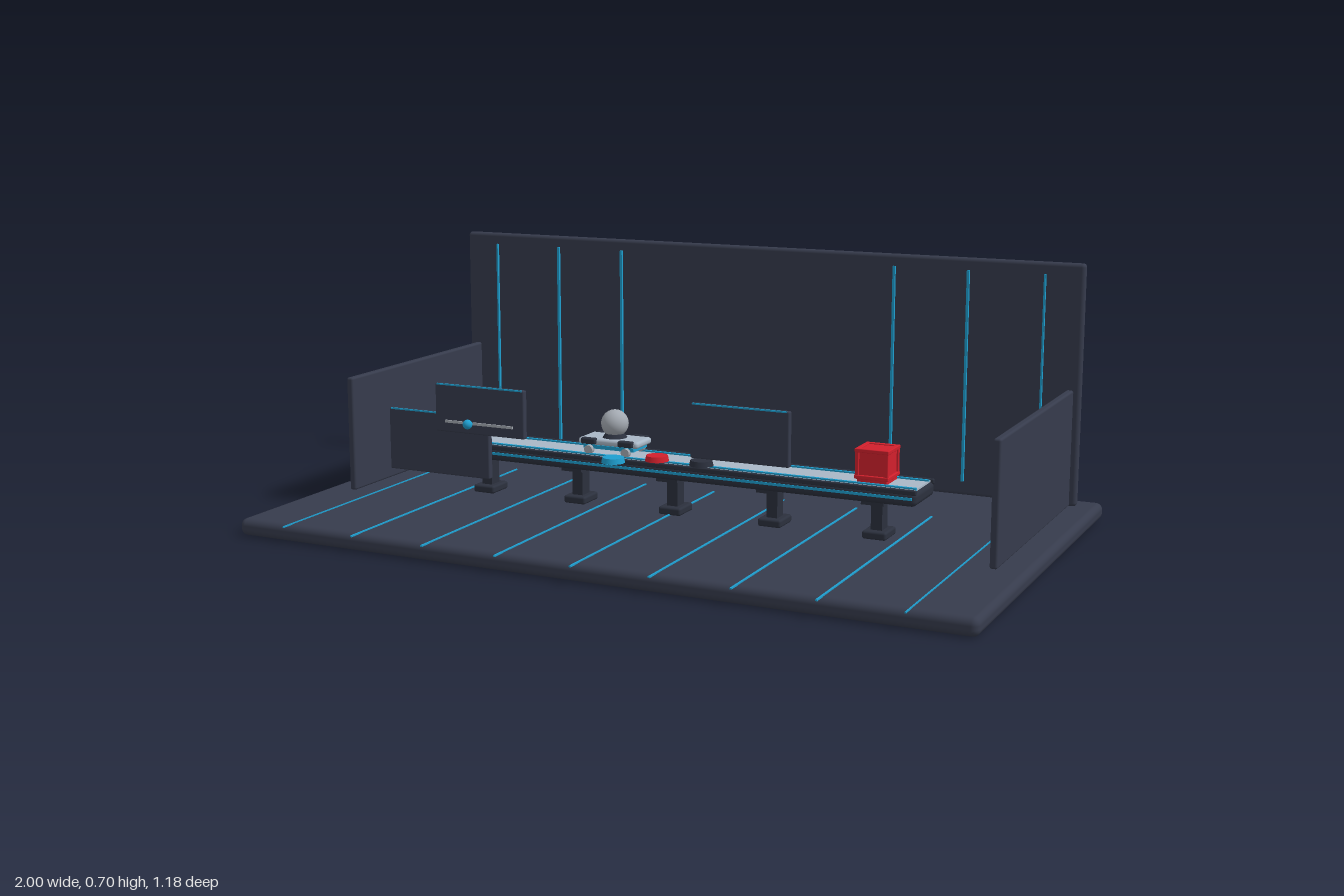
import * as THREE from 'three';
import { RoundedBoxGeometry } from 'three/addons/geometries/RoundedBoxGeometry.js';

const mat = (name, color) => {
  const m = new THREE.MeshStandardMaterial({ color });
  m.name = name;
  return m;
};

export function createModel() {
  const navy = mat('navy panel', 0x363b4c);
  const charcoal = mat('charcoal metal', 0x2b303d);
  const silver = mat('silver belt', 0xa9b7c6);
  const pearl = mat('pearl grey', 0xa3a9b1);
  const cyan = mat('cyan light', 0x1e9fd0);
  const red = mat('red', 0xd2202c);
  const model = new THREE.Group();

  const put = (name, geometry, material, x, y, z, parent = model) => {
    const mesh = new THREE.Mesh(geometry, material);
    mesh.name = name;
    mesh.position.set(x, y, z);
    parent.add(mesh);
    return mesh;
  };
  // Boxes given by their low and high corners, rounded when r > 0
  const box = (name, material, [x0, x1], [y0, y1], [z0, z1], r = 0, parent = model) => {
    const s = [x1 - x0, y1 - y0, z1 - z0];
    const g = r ? new RoundedBoxGeometry(...s, 3, r) : new THREE.BoxGeometry(...s);
    return put(name, g, material, (x0 + x1) / 2, (y0 + y1) / 2, (z0 + z1) / 2, parent);
  };
  const group = (name) => {
    const g = new THREE.Group();
    g.name = name;
    model.add(g);
    return g;
  };
  const around = (c, half) => [c - half, c + half];

  // Floor slab and walls
  box('floor', navy, [-1, 1], [0, 0.045], [-0.59, 0.568], 0.018);
  box('backWall', navy, [-0.945, 0.945], [0.045, 0.7], [-0.528, -0.502], 0.01);
  for (const s of [-1, 1])
    box('sideWall', navy, around(s * 0.916, 0.01), [0.045, 0.362], [-0.51, 0.175], 0.006);

  // Light lines on the floor and back wall
  for (let i = -4; i <= 4; i++) {
    const w = Math.abs(i) === 4 ? 0.0015 : 0.0025;
    box('floorLine', cyan, around(i * 0.21, w), [0.044, 0.048], [-0.235, 0.59]);
    if (Math.abs(i) > 1)
      box('wallLine', cyan, around(i * 0.21, w + 0.001), [0.085, 0.668], [-0.503, -0.494]);
  }

  // Conveyor: frame, belt, rails and light strips
  const conveyor = group('conveyor');
  const cz = 0.008;
  box('frame', charcoal, [-0.69, 0.69], [0.148, 0.186], around(cz, 0.075), 0.014, conveyor);
  box('belt', silver, [-0.682, 0.682], [0.18, 0.189], around(cz, 0.064), 0, conveyor);
  for (const s of [-1, 1]) {
    box('rail', charcoal, [-0.69, 0.69], [0.178, 0.192], around(cz + s * 0.07, 0.005), 0.004, conveyor);
    box('beltLine', cyan, [-0.682, 0.682], [0.186, 0.193], around(cz + s * 0.049, 0.004), 0, conveyor);
    box('sideLine', cyan, [-0.68, 0.68], [0.166, 0.173], around(cz + s * 0.075, 0.002), 0, conveyor);
  }
  for (let i = -2; i <= 2; i++) {
    const x = i * 0.285;
    box('post', charcoal, around(x, 0.015), [0.055, 0.15], around(cz, 0.02), 0, conveyor);
    box('foot', charcoal, around(x, 0.032), [0.045, 0.066], around(cz, 0.04), 0.006, conveyor);
    box('bracket', charcoal, around(x, 0.03), [0.138, 0.15], around(cz, 0.055), 0, conveyor);
  }

  // Cart carrying a ball
  const cart = group('cart');
  const cx = -0.18;
  box('body', silver, around(cx, 0.089), [0.214, 0.232], around(cz, 0.044), 0.008, cart);
  box('underLight', cyan, around(cx, 0.075), [0.204, 0.214], around(cz, 0.04), 0, cart);
  for (const sx of [-1, 1])
    for (const sz of [-1, 1]) {
      const x = cx + sx * 0.055, z = cz + sz * 0.044;
      box('fender', charcoal, around(x, 0.022), [0.217, 0.234], around(z, 0.009), 0.005, cart);
      const wheel = put('wheel', new THREE.CylinderGeometry(0.012, 0.012, 0.014, 20), pearl, x, 0.202, z, cart);
      wheel.rotation.x = Math.PI / 2;
    }
  put('ballSeat', new THREE.CylinderGeometry(0.024, 0.034, 0.014, 24), charcoal, cx, 0.238, cz, cart);
  put('ball', new THREE.SphereGeometry(0.037, 28, 18), pearl, cx, 0.27, cz, cart);

  // Red crate with raised edge bars
  const crate = group('crate');
  const bx = 0.562, by = 0.238, h = 0.039;
  box('crateCore', red, around(bx, h), [0.189, by + h - 0.003], around(cz, h), 0, crate);
  for (const a of [-1, 1])
    for (const b of [-1, 1]) {
      box('crateBar', red, around(bx, h + 0.006), around(by + a * 0.034, 0.005), around(cz + b * h, 0.006), 0.002, crate);
      box('crateBar', red, around(bx + a * h, 0.006), around(by + b * 0.034, 0.005), around(cz, h + 0.006), 0.002, crate);
      box('crateBar', red, around(bx + a * h, 0.005), around(by, h), around(cz + b * h, 0.005), 0.002, crate);
    }

  // Floating display panels with a thin lit top edge
  const panel = (name, [x0, x1], [y0, y1], z) => {
    const g = group(name);
    box('screen', navy, [x0, x1], [y0, y1], around(z, 0.009), 0.004, g);
    box('edgeLight', cyan, [x0 + 0.006, x1 - 0.006], [y1 - 0.003, y1 + 0.001], around(z + 0.008, 0.002), 0, g);
    return g;
  };
  panel('lowPanel', [-0.793, -0.477], [0.118, 0.288], 0.158);
  const slider = panel('sliderPanel', [-0.628, -0.355], [0.243, 0.373], 0.181);
  panel('rightPanel', [0.115, 0.385], [0.235, 0.377], 0.153);
  box('sliderTrack', pearl, [-0.596, -0.388], [0.269, 0.276], [0.189, 0.194], 0, slider);
  put('sliderKnob', new THREE.SphereGeometry(0.013, 20, 14), cyan, -0.52, 0.272, 0.203, slider);

  // Row of round buttons
  [[-0.107, 0.208, cyan], [0.02, 0.225, red], [0.145, 0.225, charcoal]].forEach(([x, y, m]) =>
    put('button', new THREE.CylinderGeometry(0.028, 0.031, 0.014, 28), m, x, y, 0.159));

  return model;
}
